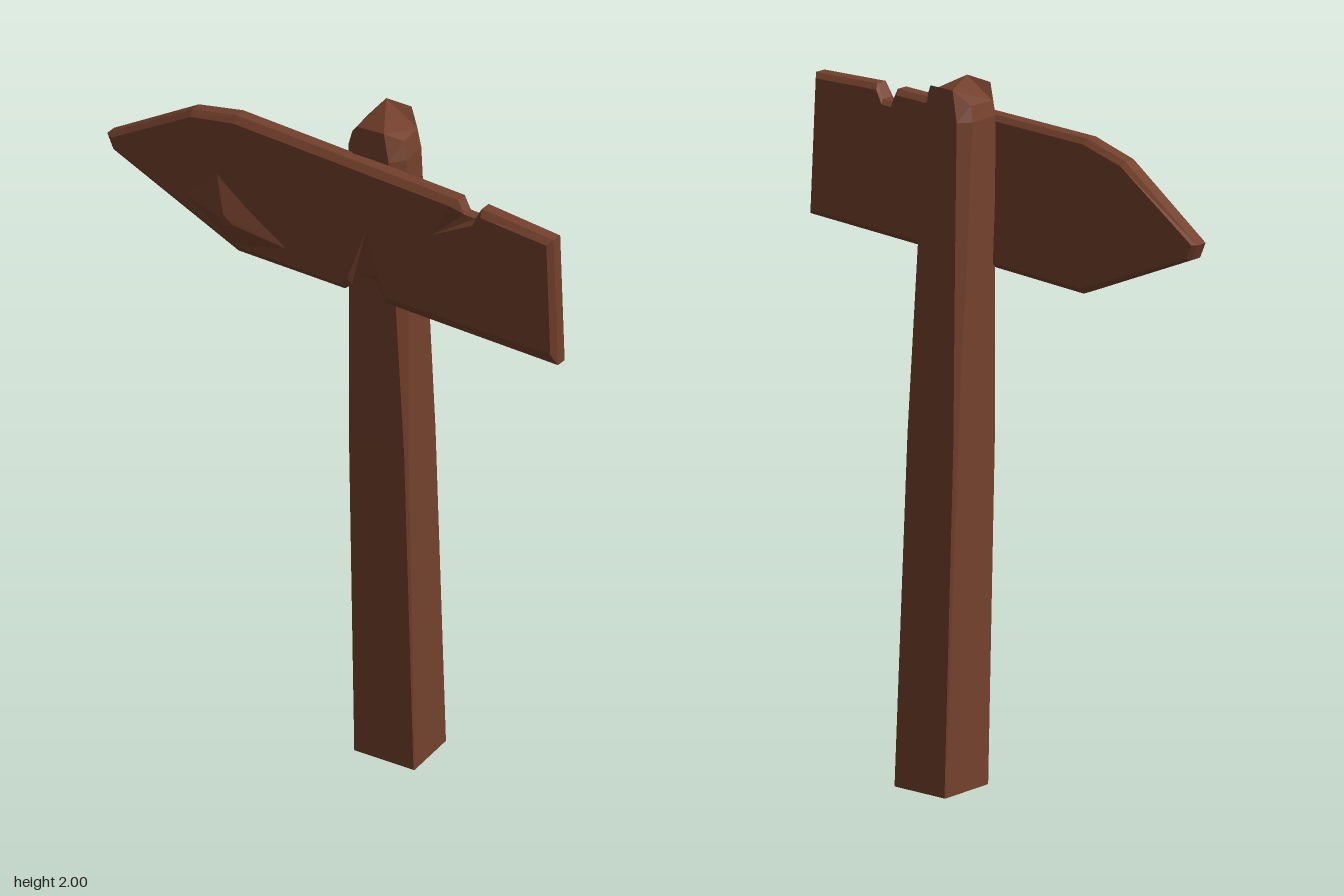
import * as THREE from 'three';

const wood = new THREE.MeshStandardMaterial({ color: 0x74412d, flatShading: true });
wood.name = 'brown wood';

// Skin a stack of equal-length rings and cap both ends; flat(p) projects a ring counter-clockwise
function loft(name, rings, flat) {
  const pos = [];
  const tri = (a, b, c) => pos.push(...a, ...b, ...c);
  const n = rings[0].length;
  for (let i = 0; i < rings.length - 1; i++) {
    for (let j = 0; j < n; j++) {
      const k = (j + 1) % n;
      tri(rings[i][j], rings[i][k], rings[i + 1][k]);
      tri(rings[i][j], rings[i + 1][k], rings[i + 1][j]);
    }
  }
  const cap = (ring, flip) => {
    for (const [a, b, c] of THREE.ShapeUtils.triangulateShape(ring.map(flat), [])) {
      if (flip) tri(ring[a], ring[c], ring[b]);
      else tri(ring[a], ring[b], ring[c]);
    }
  };
  cap(rings[0], true);
  cap(rings[rings.length - 1], false);
  const geo = new THREE.BufferGeometry();
  geo.setAttribute('position', new THREE.Float32BufferAttribute(pos, 3));
  geo.computeVertexNormals();
  const mesh = new THREE.Mesh(geo, wood);
  mesh.name = name;
  return mesh;
}

// Slightly twisted rectangle with cut corners; cuts run front-left, front-right, back-right, back-left
function postRing(y, cx, cz, hw, hd, cuts) {
  const signs = [[-1, 1], [1, 1], [1, -1], [-1, -1]];
  const ring = [];
  signs.forEach(([sx, sz], i) => {
    const side = [sx * hw, sz * (hd - cuts[i])];
    const end = [sx * (hw - cuts[i]), sz * hd];
    const pair = i % 2 ? [end, side] : [side, end];
    for (const [u, v] of pair) {
      const h = Array.isArray(y) ? y[ring.length] : y;
      ring.push([cx + u + 0.09 * v, h, cz + v + 0.09 * u]);
    }
  });
  return ring;
}

function makePost() {
  const rings = [
    postRing(0, 0.122, -0.102, 0.104, 0.105, [0.003, 0.003, 0.01, 0.003]),
    postRing(1.0, 0.122, -0.06, 0.102, 0.098, [0.008, 0.01, 0.016, 0.01]),
    postRing(1.5, 0.122, -0.04, 0.1, 0.092, [0.022, 0.03, 0.032, 0.025]),
    postRing(1.91, 0.122, -0.022, 0.097, 0.088, [0.032, 0.04, 0.042, 0.035]),
    // Uneven worn top
    postRing([1.95, 1.99, 1.995, 1.965, 1.965, 2, 2, 1.955], 0.122, -0.022, 0.086, 0.088, [0.035, 0.045, 0.045, 0.04]),
  ];
  return loft('post', rings, (p) => new THREE.Vector2(p[0], -p[2]));
}

// Places a point of the board plane, d in front of its middle
const onBoard = (x, y, d) => [x, y, 0.052 + 0.148 * x + 0.06 * (y - 1.69) + d];

function makeBoard() {
  // Rim x, y, then the front face x, y; the notches reach further in on the front
  const outline = [
    [-0.8, 1.69, -0.775, 1.69], [-0.78, 1.645, -0.765, 1.66],
    [-0.34, 1.468, -0.33, 1.49], [0.04, 1.475, 0.03, 1.495],
    [0.065, 1.495, 0.06, 1.52], [0.11, 1.538, 0.135, 1.7],
    [0.15, 1.535, 0.17, 1.57], [0.18, 1.477, 0.2, 1.505],
    [0.8, 1.485, 0.785, 1.52], [0.8, 1.885, 0.785, 1.87],
    [0.545, 1.9, 0.55, 1.88], [0.52, 1.86, 0.52, 1.845],
    [0.48, 1.86, 0.37, 1.765], [0.46, 1.9, 0.44, 1.88],
    [-0.33, 1.905, -0.33, 1.885], [-0.49, 1.87, -0.485, 1.855],
  ];
  const rim = (d) => outline.map(([x, y]) => onBoard(x, y, d));
  const rings = [
    outline.map(([x, y]) => onBoard(x * 0.985, 1.69 + (y - 1.69) * 0.93, -0.033)),
    rim(-0.02),
    rim(0.016),
    outline.map(([, , x, y]) => onBoard(x, y, 0.033)),
  ];
  return loft('signBoard', rings, (p) => new THREE.Vector2(p[0], p[1]));
}

// Low faceted swelling on the front of the board
function makeKnot() {
  const base = [[-0.53, 1.6], [-0.34, 1.49], [-0.14, 1.54], [-0.29, 1.63], [-0.4, 1.71]];
  const rings = [
    base.map(([x, y]) => onBoard(x, y, 0.031)),
    base.map(([x, y]) => onBoard(-0.36 + (x + 0.36) * 0.12, 1.575 + (y - 1.575) * 0.15, 0.056)),
  ];
  return loft('woodKnot', rings, (p) => new THREE.Vector2(p[0], p[1]));
}

export function createModel() {
  const model = new THREE.Group();
  model.name = 'woodenSignpost';
  model.add(makePost(), makeBoard(), makeKnot());
  return model;
}
